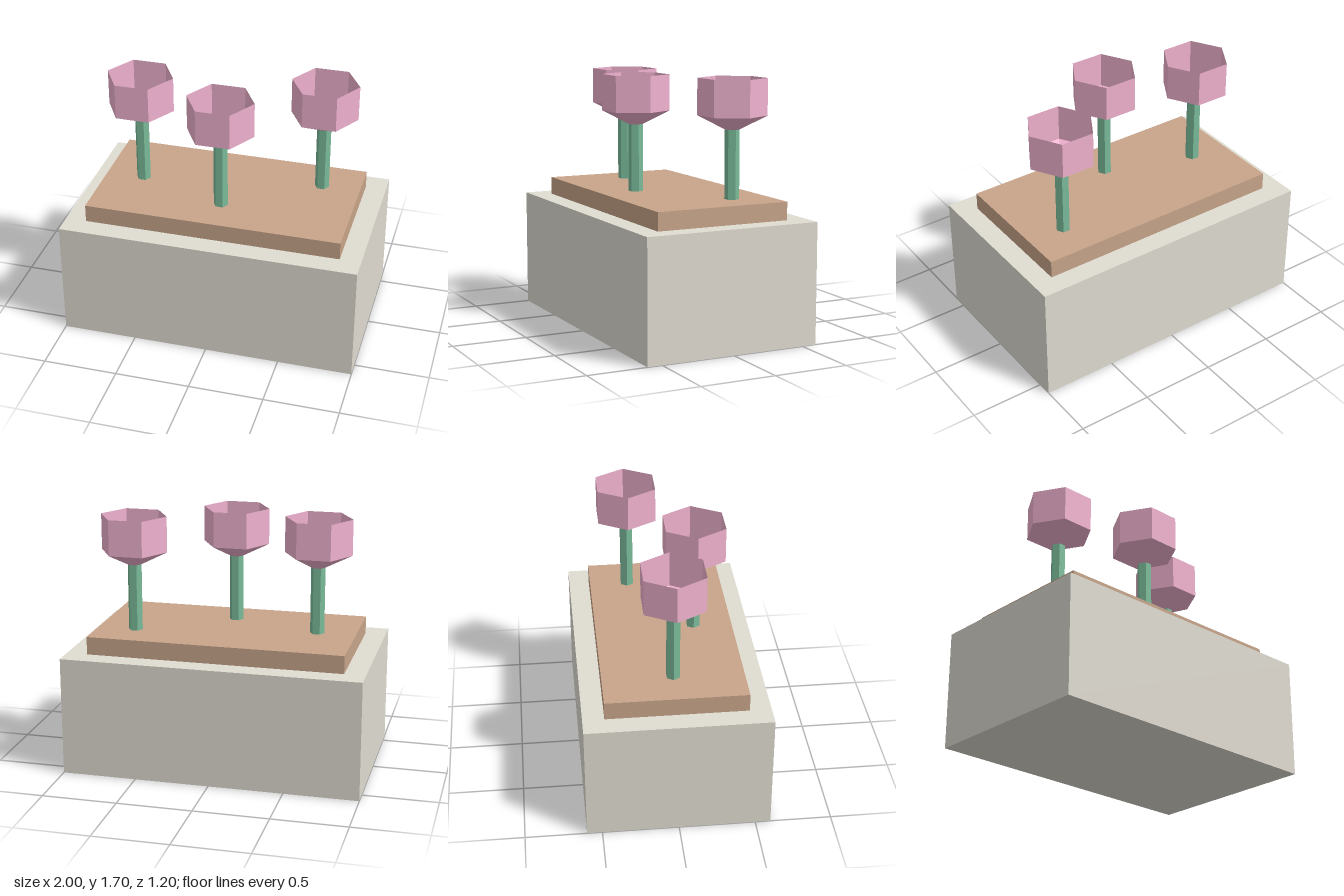
import * as THREE from 'three';

const material = (color, side = THREE.FrontSide) =>
  new THREE.MeshStandardMaterial({ color, side, flatShading: true });

function addBox(parent, name, [w, h, d], bottom, mat) {
  const mesh = new THREE.Mesh(new THREE.BoxGeometry(w, h, d), mat);
  mesh.name = name;
  mesh.position.y = bottom + h / 2;
  parent.add(mesh);
}

export function createModel() {
  const model = new THREE.Group();
  model.name = 'flowerPlanter';

  // Planter block with a slab of soil on top
  addBox(model, 'planter', [2, 0.8, 1.2], 0, material(0xe0dcd2));
  addBox(model, 'soil', [1.72, 0.12, 0.92], 0.8, material(0xc8a58a));

  // Six-sided stem and open six-sided cup, corners pointing along x
  const soilTop = 0.92, stemTop = 1.37, stemRadius = 0.048;
  const stemGeometry = new THREE.CylinderGeometry(
    stemRadius, stemRadius, stemTop - soilTop, 6, 1, false, Math.PI / 6);
  const blossomProfile = [[stemRadius, 1.37], [0.225, 1.46], [0.225, 1.7]]
    .map(([r, y]) => new THREE.Vector2(r, y));
  const blossomGeometry = new THREE.LatheGeometry(blossomProfile, 6, Math.PI / 6);
  const stemMaterial = material(0x7abb9a);
  const blossomMaterial = material(0xf0b2cf, THREE.DoubleSide);

  // Three flowers
  for (const [x, z] of [[-0.6, 0], [0, 0.2], [0.6, -0.2]]) {
    const flower = new THREE.Group();
    flower.name = 'flower';
    flower.position.set(x, 0, z);

    const stem = new THREE.Mesh(stemGeometry, stemMaterial);
    stem.name = 'stem';
    stem.position.y = (soilTop + stemTop) / 2;

    const blossom = new THREE.Mesh(blossomGeometry, blossomMaterial);
    blossom.name = 'blossom';

    flower.add(stem, blossom);
    model.add(flower);
  }
  return model;
}
